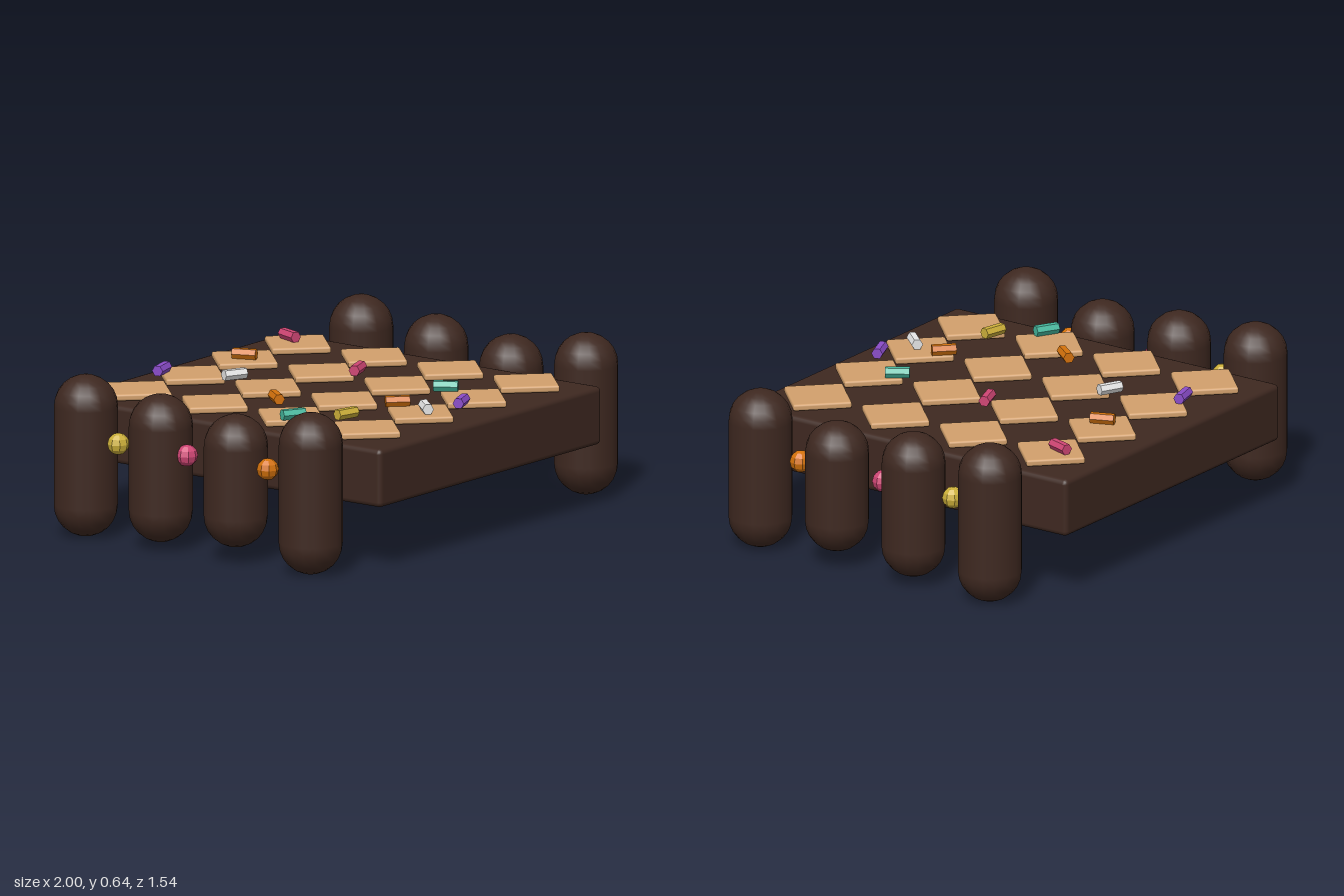
import * as THREE from 'three';
import { RoundedBoxGeometry } from 'three/addons/geometries/RoundedBoxGeometry.js';

const mat = (name, color, flatShading = false) => {
  const m = new THREE.MeshStandardMaterial({ color, flatShading });
  m.name = name;
  return m;
};

export function createModel() {
  const model = new THREE.Group();
  model.name = 'bed';
  const chocolate = mat('chocolate', 0x3e2820);
  const wafer = mat('wafer', 0xd2a06c);
  const orange = mat('orange', 0xd4720c, true);
  const pink = mat('pink', 0xcf4674, true);
  const yellow = mat('yellow', 0xcdb03a, true);
  const purple = mat('purple', 0x8a4cc8, true);
  const teal = mat('teal', 0x45b89e, true);
  const white = mat('white', 0xe6e6e6, true);

  const add = (name, geometry, material, x, y, z, turn = 0) => {
    const mesh = new THREE.Mesh(geometry, material);
    mesh.name = name;
    mesh.position.set(x, y, z);
    mesh.rotation.y = turn;
    model.add(mesh);
  };

  // Thick slab
  add('slab', new RoundedBoxGeometry(1.41, 0.23, 1.54, 2, 0.02), chocolate, 0, 0.37, 0);

  // Diamond tiles in a four by four grid
  const tile = new RoundedBoxGeometry(0.23, 0.027, 0.23, 2, 0.009);
  for (let i = 0; i < 4; i++) {
    for (let j = 0; j < 4; j++) {
      add('tile', tile, wafer, (i - 1.5) * 0.337, 0.502, (j - 1.5) * 0.37, Math.PI / 4);
    }
  }

  // Rounded posts and the beads between them, on both sides
  const posts = [[0.562, 0.637], [0.198, 0.523], [-0.166, 0.582], [-0.53, 0.637]];
  const beads = [[0.362, orange], [-0.03, pink], [-0.363, yellow]];
  const bead = new THREE.SphereGeometry(0.043, 8, 6);
  for (const side of [-1, 1]) {
    for (const [z, height] of posts) {
      add('post', new THREE.CapsuleGeometry(0.125, height - 0.25, 6, 16), chocolate, side * 0.875, 0.3185, z);
    }
    for (const [z, material] of beads) add('bead', bead, material, side * 0.887, 0.388, z);
  }

  // Scattered sprinkles: x, z, turn in degrees, colour
  const sprinkle = new THREE.CylinderGeometry(0.0225, 0.0225, 0.095, 6).rotateZ(Math.PI / 2);
  const sprinkles = [
    [-0.26, -0.63, 15, purple], [-0.165, -0.35, -25, white], [0.14, -0.535, -68, orange],
    [0.503, -0.595, 70, pink], [-0.385, 0.02, 52, orange], [0.203, -0.033, 20, pink],
    [-0.578, 0.25, -28, teal], [-0.444, 0.406, -12, yellow], [-0.155, 0.433, -45, orange],
    [-0.171, 0.583, 48, white], [0.166, 0.422, -57, teal], [-0.006, 0.63, 22, purple],
  ];
  for (const [x, z, turn, material] of sprinkles) {
    add('sprinkle', sprinkle, material, x, 0.535, z, THREE.MathUtils.degToRad(turn));
  }
  return model;
}
